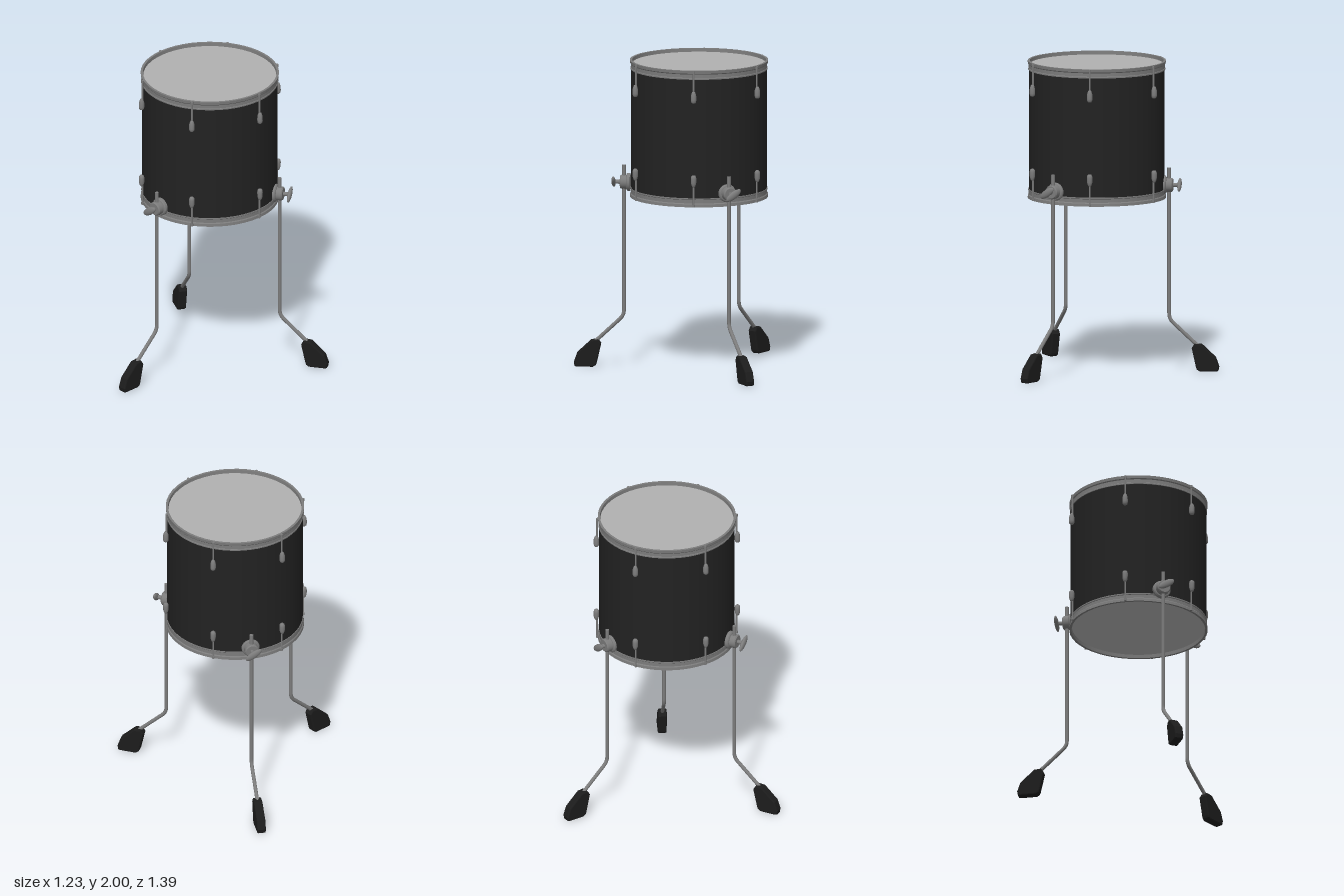
import * as THREE from 'three';

const mat = (name, color, side = THREE.FrontSide) => {
  const m = new THREE.MeshStandardMaterial({ color, side });
  m.name = name;
  return m;
};

export function createModel() {
  const black = mat('black shell', 0x222222);
  const rubber = mat('dark rubber', 0x1c1c1c);
  const metal = mat('grey metal', 0x7c7c7c);
  const skin = mat('pale drumhead', 0xb0b0b0);

  const model = new THREE.Group();
  model.name = 'floorTom';

  const add = (parent, name, geometry, material, x = 0, y = 0, z = 0) => {
    const mesh = new THREE.Mesh(geometry, material);
    mesh.name = name;
    mesh.position.set(x, y, z);
    parent.add(mesh);
    return mesh;
  };
  // Lathe with sharp corners: every straight run gets its own ring of vertices
  const hardLathe = (points, segments) => {
    const pts = [];
    points.slice(1).forEach((p, i) => pts.push(new THREE.Vector2(...points[i]), new THREE.Vector2(...p)));
    const g = new THREE.LatheGeometry(pts, segments).toNonIndexed();
    const pos = g.attributes.position, nor = g.attributes.normal;
    // Normals follow the profile edge of each facet, kept smooth around the axis
    const a = new THREE.Vector3(), b = new THREE.Vector3(), c = new THREE.Vector3();
    for (let i = 0; i < pos.count; i += 3) {
      a.fromBufferAttribute(pos, i);
      b.fromBufferAttribute(pos, i + 1).sub(a);
      c.fromBufferAttribute(pos, i + 2).sub(a);
      const n = b.cross(c).normalize();
      const mid = new THREE.Vector3();
      for (let k = 0; k < 3; k++) mid.add(new THREE.Vector3().fromBufferAttribute(pos, i + k));
      const flat = Math.hypot(n.x, n.z) * Math.sign(n.x * mid.x + n.z * mid.z);
      for (let k = 0; k < 3; k++) {
        const x = pos.getX(i + k), z = pos.getZ(i + k), r = Math.hypot(x, z) || 1;
        nor.setXYZ(i + k, x / r * flat, n.y, z / r * flat);
      }
    }
    return g;
  };

  // Drum body, built around its own mid height
  const drum = new THREE.Group();
  drum.name = 'drum';
  drum.position.set(-0.175, 1.5575, -0.01);
  model.add(drum);
  add(drum, 'shell', new THREE.CylinderGeometry(0.434, 0.434, 0.8, 64, 1, true), black);

  // Hoop section: folded lip, flat band and lower flange
  const hoopGeo = hardLathe([
    [0.425, 0.385], [0.439, 0.385], [0.439, 0.393], [0.436, 0.396], [0.436, 0.418],
    [0.441, 0.424], [0.443, 0.4425], [0.428, 0.4425], [0.425, 0.41], [0.425, 0.385],
  ], 48);
  const lugGeo = new THREE.LatheGeometry([
    [0, 0.232], [0.010, 0.234], [0.016, 0.241], [0.018, 0.255], [0.017, 0.285],
    [0.012, 0.302], [0.008, 0.309], [0, 0.309],
  ].map(p => new THREE.Vector2(...p)), 14);
  const rodGeo = new THREE.CylinderGeometry(0.006, 0.006, 0.15, 8);
  const boltGeo = new THREE.CylinderGeometry(0.009, 0.009, 0.016, 8);
  const headGeo = new THREE.CylinderGeometry(0.428, 0.428, 0.008, 64);

  for (const [side, flip] of [['top', 0], ['bottom', Math.PI]]) {
    const half = new THREE.Group();
    half.name = side + 'Half';
    half.rotation.x = flip;
    drum.add(half);
    add(half, side + 'Hoop', hoopGeo, metal);
    add(half, side + 'Head', headGeo, skin, 0, 0.416);
    // Six tension rods, each held by a rounded lug
    for (let i = 0; i < 6; i++) {
      const lug = new THREE.Group();
      lug.name = side + 'Tensioner';
      lug.rotation.y = Math.PI / 6 + i * Math.PI / 3;
      half.add(lug);
      add(lug, 'lug', lugGeo, metal, 0.452);
      add(lug, 'tensionRod', rodGeo, metal, 0.447, 0.366);
      add(lug, 'rodBolt', boltGeo, metal, 0.446, 0.433);
    }
  }

  // Leg rod path: straight, softly bent, then splayed outward
  const v = (x, y) => new THREE.Vector3(x, y, 0);
  const path = new THREE.CurvePath();
  path.add(new THREE.LineCurve3(v(0.47, 1.31), v(0.47, 0.37)));
  path.add(new THREE.QuadraticBezierCurve3(v(0.47, 0.37), v(0.47, 0.335), v(0.497, 0.31)));
  path.add(new THREE.LineCurve3(v(0.497, 0.31), v(0.68, 0.14)));
  const legGeo = new THREE.TubeGeometry(path, 100, 0.012, 12);
  const capGeo = new THREE.CylinderGeometry(0.012, 0.012, 0.004, 12);

  // Rubber foot outline seen from the side
  const outline = [[0.617, 0.15], [0.635, 0.178], [0.68, 0.174], [0.77, 0.09], [0.791, 0.03],
    [0.786, 0.004], [0.775, 0], [0.668, 0], [0.65, 0.012], [0.645, 0.025]];
  const footGeo = new THREE.ExtrudeGeometry(
    new THREE.Shape(outline.map(p => new THREE.Vector2(...p))),
    { depth: 0.04, bevelThickness: 0.008, bevelSize: 0.008, bevelOffset: -0.008, bevelSegments: 2 },
  ).translate(0, 0, -0.02);

  // Bracket turned about the radial axis: base plate, step, clamp drum
  const bracketGeo = hardLathe([
    [0, 0.43], [0.058, 0.43], [0.058, 0.447], [0.052, 0.453], [0.045, 0.455],
    [0.045, 0.488], [0.039, 0.495], [0, 0.495],
  ], 28).rotateZ(-Math.PI / 2);
  const stemGeo = new THREE.CylinderGeometry(0.012, 0.014, 0.05, 12).rotateZ(-Math.PI / 2);
  const wingGeo = new THREE.SphereGeometry(1, 20, 12).scale(0.014, 0.06, 0.024);

  for (let i = 0; i < 3; i++) {
    const leg = new THREE.Group();
    leg.name = 'legAssembly';
    leg.position.x = -0.18;
    leg.rotation.y = i * Math.PI * 2 / 3;
    model.add(leg);
    add(leg, 'legRod', legGeo, metal);
    add(leg, 'legCap', capGeo, metal, 0.47, 1.309);
    add(leg, 'foot', footGeo, rubber);
    add(leg, 'bracket', bracketGeo, metal, 0, 1.2);
    add(leg, 'wingStem', stemGeo, metal, 0.515, 1.2);
    add(leg, 'wingNut', wingGeo, metal, 0.537, 1.2).rotation.x = -0.985;
  }
  return model;
}
